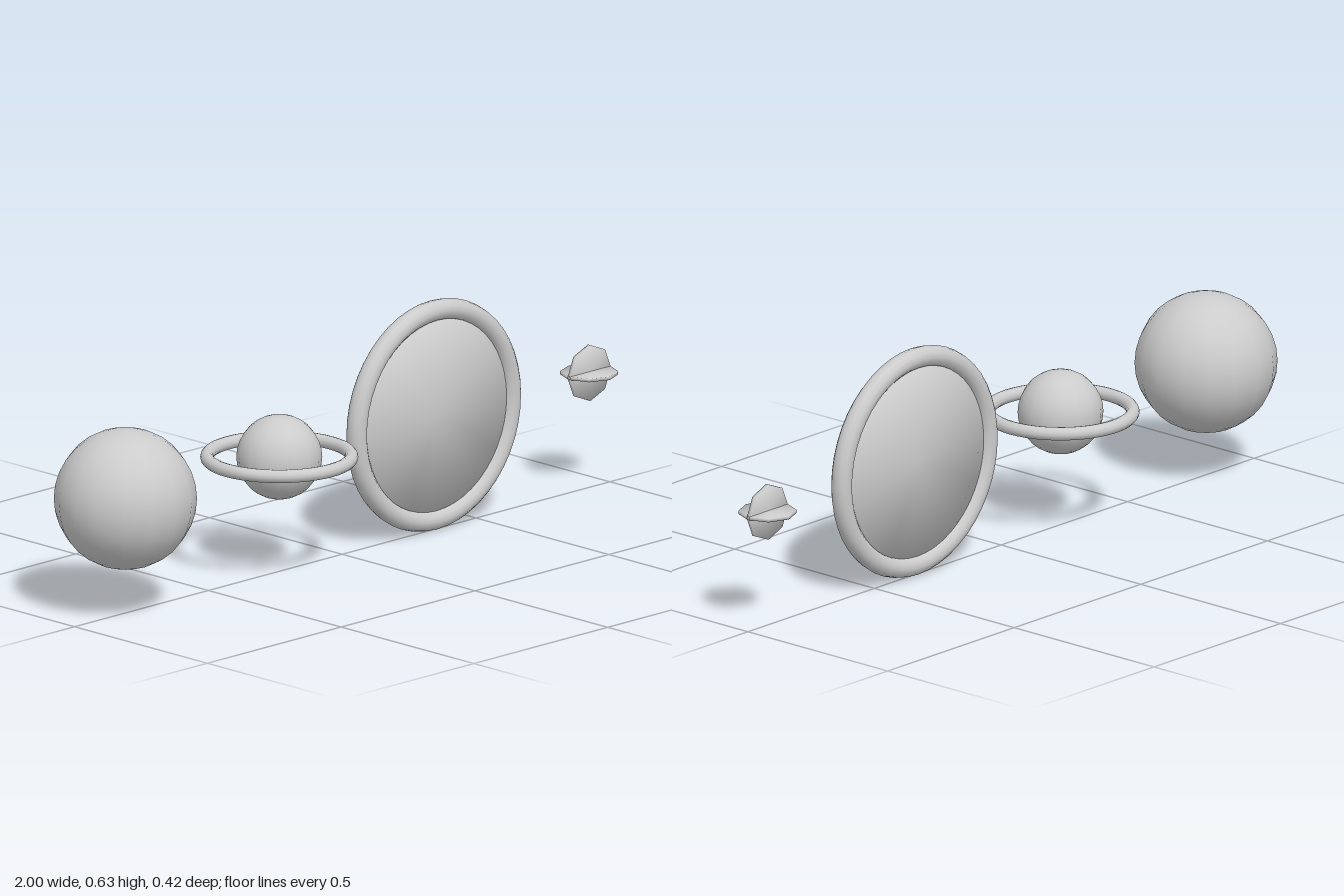
import * as THREE from 'three';

const MID = 0.318; // shared centre height

export function createModel() {
  const model = new THREE.Group();
  const grey = new THREE.MeshStandardMaterial({ color: 0xcccccc });

  const add = (name, geometry, x, rotX = 0) => {
    const mesh = new THREE.Mesh(geometry, grey);
    mesh.name = name;
    mesh.position.set(x, MID, 0);
    mesh.rotation.x = rotX;
    model.add(mesh);
  };

  // Thin disc whose rim normals lean outward, so its caps shade softly like a lens
  const softDisc = (radius, thickness, sides) => {
    const geometry = new THREE.CylinderGeometry(radius, radius, thickness, sides);
    const { position, normal } = geometry.attributes;
    const n = new THREE.Vector3();
    for (let i = 0; i < position.count; i++) {
      n.set(position.getX(i) / radius, Math.sign(position.getY(i)), position.getZ(i) / radius).normalize();
      normal.setXYZ(i, n.x, n.y, n.z);
    }
    return geometry;
  };

  // Plain planet
  add('planet', new THREE.SphereGeometry(0.19, 16, 16), -0.81);

  // Small planet with a flat-lying ring
  add('ringedPlanet', new THREE.SphereGeometry(0.114, 16, 16), -0.235);
  add('planetRing', new THREE.TorusGeometry(0.192, 0.018, 12, 48), -0.235, Math.PI / 2);

  // Upright portal: round frame filled by a thin disc
  add('portalFrame', new THREE.TorusGeometry(0.288, 0.028, 12, 48), 0.342);
  add('portalDisc', softDisc(0.268, 0.02, 48), 0.342, Math.PI / 2);

  // Star made of two crossed octagonal plates
  add('starPlateFlat', softDisc(0.077, 0.009, 8), 0.923);
  add('starPlateUpright', softDisc(0.077, 0.009, 8), 0.923, Math.PI / 2);

  return model;
}
